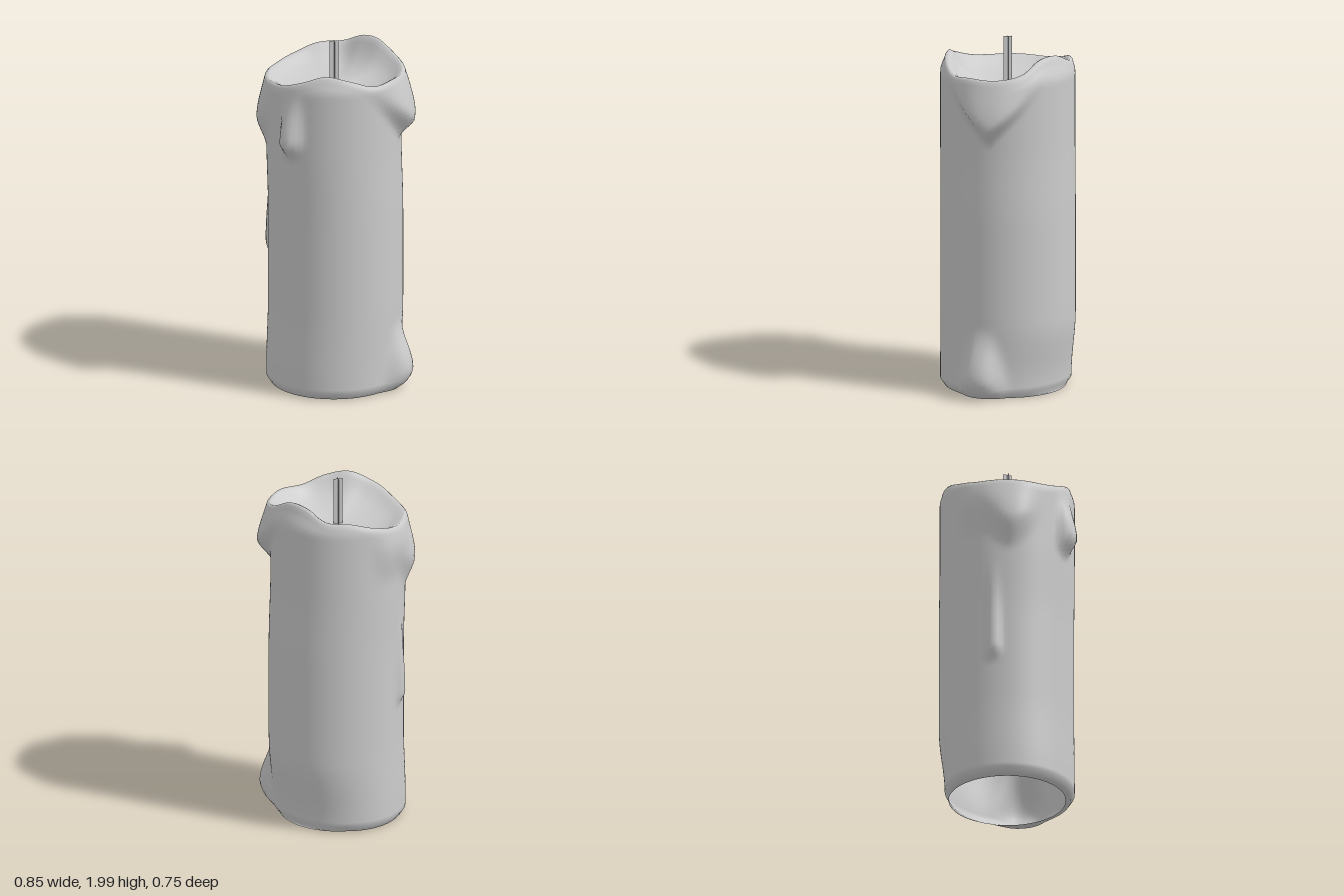
import * as THREE from 'three';

const SEGMENTS = 112, ROWS = 72;
const { smoothstep, lerp, clamp, degToRad } = THREE.MathUtils;

// Height of the melted rim every 22.5 degrees, going from +x towards +z
const RIM = [1.87, 1.845, 1.845, 1.835, 1.88, 1.905, 1.86, 1.815,
  1.80, 1.80, 1.80, 1.83, 1.87, 1.88, 1.935, 1.935];

// Wax runs: angle, bulge, lower tip, fullest height, upper end,
// half widths at tip and top, and rise of the lower edge per degree off centre
const DRIPS = [
  { angle: 27, bulge: 0.084, tip: 1.45, peak: 1.57, top: 1.98, w0: 26, w1: 42, rise: 0.0065 },
  { angle: 198, bulge: 0.055, tip: 1.36, peak: 1.55, top: 1.88, w0: 13, w1: 24, rise: 0.004 },
  { angle: 143, bulge: 0.072, tip: 1.38, peak: 1.5, top: 1.84, w0: 9, w1: 9, rise: 0.003 },
  { angle: 213, bulge: 0.032, tip: 0.69, peak: 0.78, top: 1.38, w0: 6, w1: 4, rise: 0 },
  { angle: 229, bulge: 0.026, tip: 1.45, peak: 1.68, top: 1.88, w0: 14, w1: 20, rise: 0 },
  { angle: 35, bulge: 0.09, tip: -0.06, peak: 0.12, top: 0.42, w0: 20, w1: 9, rise: 0 },
];

// Smooth periodic interpolation of the rim heights
function rimHeight(deg) {
  const n = RIM.length, f = deg / 360 * n, i = Math.floor(f), t = f - i;
  const [a, b, c, d] = [-1, 0, 1, 2].map(k => RIM[(i + k + n) % n]);
  return b + 0.5 * t * (c - a + t * (2 * a - 5 * b + 4 * c - d + t * (3 * (b - c) + d - a)));
}

// Radius of the outer wall, with its swell, base taper, shoulder and wax runs
function wallRadius(deg, y) {
  const swell = 0.01 * Math.cos(degToRad(deg)) * smoothstep(y, 0.1, 0.5) * (1 - smoothstep(y, 1, 1.45));
  const taper = 0.04 * Math.max(0, Math.cos(degToRad(deg + 40))) ** 2 * (1 - smoothstep(y, 0.03, 0.42));
  let r = 0.375 + swell - taper - 0.045 * smoothstep(y, 1.8, 1.94);
  for (const d of DRIPS) {
    const off = Math.abs((deg - d.angle + 540) % 360 - 180);
    const width = lerp(d.w0, d.w1, clamp((y - d.tip) / (d.top - d.tip), 0, 1));
    const lift = d.rise * off;
    const along = smoothstep(y, d.tip + lift, d.peak + lift) * (1 - smoothstep(y, d.peak, d.top));
    r += d.bulge * along * Math.exp(-Math.pow(off / width, 3));
  }
  return r;
}

// One vertical section [radius, y] from the base edge over the rim to the bowl centre
function section(deg) {
  const rim = rimHeight(deg), floor = 1.73;
  const points = [[0.325, 0.008], [wallRadius(deg, 0.02) - 0.022, 0.012]];
  for (let j = 0; j <= ROWS; j++) {
    const y = lerp(0.045, rim - 0.035, j / ROWS);
    points.push([wallRadius(deg, y), y]);
  }
  const edge = wallRadius(deg, rim - 0.035);
  points.push([edge - 0.006, rim - 0.013], [edge - 0.018, rim], [edge - 0.032, rim - 0.006]);
  // bowl: share of the rim's radius and of its height above the floor
  for (const [s, k] of [[0.95, 0.83], [0.88, 0.62], [0.78, 0.42], [0.64, 0.24], [0.45, 0.1], [0.24, 0.03], [0.0003, 0]])
    points.push([s * (edge - 0.032), lerp(floor, rim, k)]);
  return points;
}

function waxGeometry() {
  const positions = [], index = [];
  let count = 0;
  for (let i = 0; i < SEGMENTS; i++) {
    const deg = i / SEGMENTS * 360, a = degToRad(deg);
    const points = section(deg);
    count = points.length;
    for (const [r, y] of points) positions.push(r * Math.cos(a), y, r * Math.sin(a));
  }
  for (let i = 0; i < SEGMENTS; i++) {
    const p = i * count, q = (i + 1) % SEGMENTS * count;
    for (let j = 0; j < count - 1; j++)
      index.push(p + j, p + j + 1, q + j, q + j, p + j + 1, q + j + 1);
  }
  const geometry = new THREE.BufferGeometry();
  geometry.setAttribute('position', new THREE.Float32BufferAttribute(positions, 3));
  geometry.setIndex(index);
  geometry.computeVertexNormals();
  return geometry;
}

export function createModel() {
  const model = new THREE.Group();
  model.name = 'candle';
  const wax = new THREE.MeshStandardMaterial({ color: 0xcccccc, side: THREE.DoubleSide });

  // Wax shell, open underneath, with drips, rim and melted bowl
  const body = new THREE.Mesh(waxGeometry(), wax);
  body.name = 'waxBody';
  model.add(body);

  // Wick of two crossed strips
  const wick = new THREE.Group();
  wick.name = 'wick';
  for (const turn of [0, Math.PI / 2]) {
    const strip = new THREE.Mesh(new THREE.PlaneGeometry(0.05, 0.27), wax);
    strip.name = 'wickStrip';
    strip.position.y = 1.865;
    strip.rotation.y = turn;
    wick.add(strip);
  }
  model.add(wick);
  return model;
}
